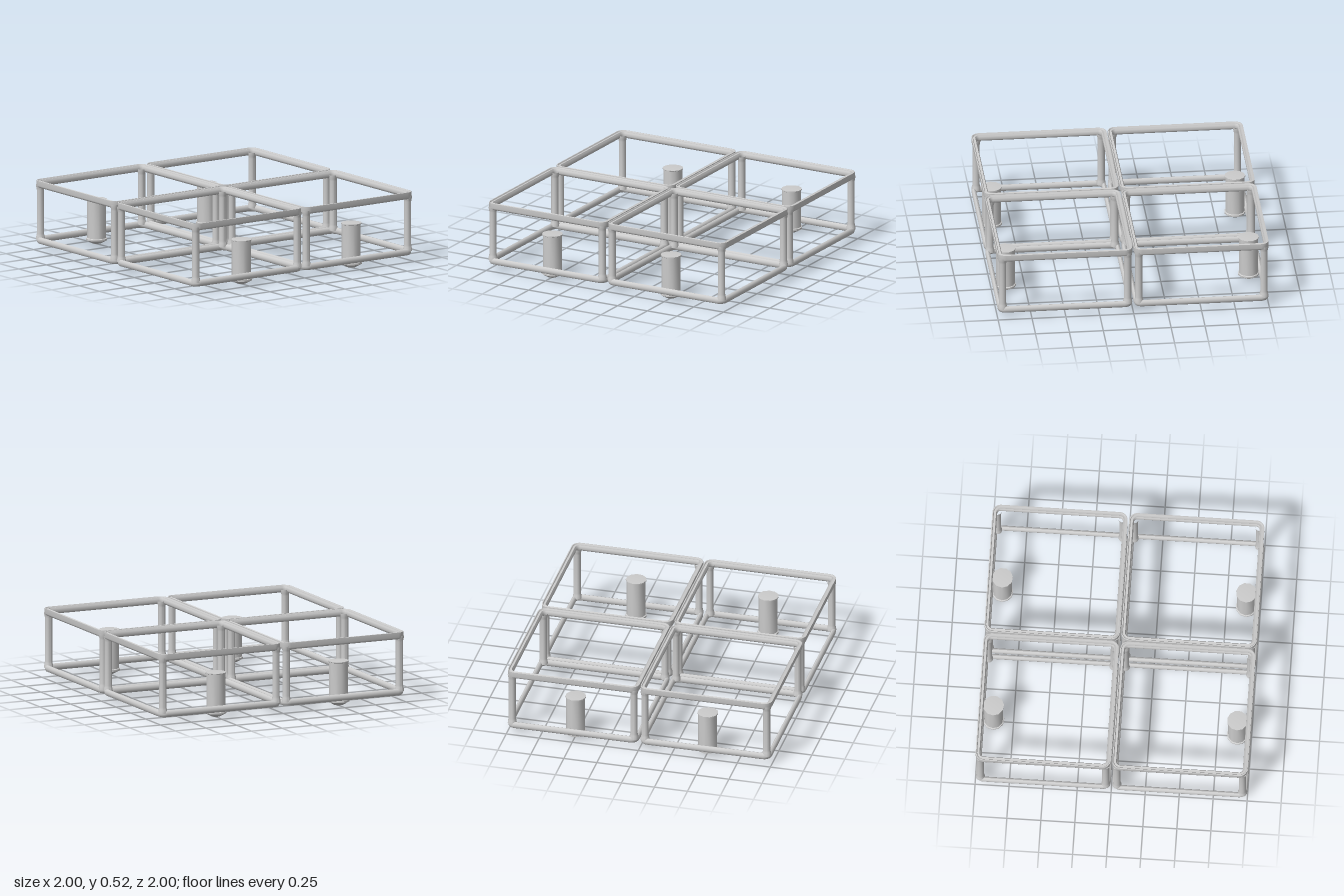
import * as THREE from 'three';
import { toCreasedNormals } from 'three/addons/utils/BufferGeometryUtils.js';

const material = new THREE.MeshStandardMaterial({ color: 0xcccccc });
const CELL = 0.5025;    // centre of each frame from the middle
const HALF = 0.4975;    // half width of a frame
const CORNER = 0.06;    // outer corner radius

function addMesh(parent, name, geometry) {
  const mesh = new THREE.Mesh(geometry, material);
  mesh.name = name;
  parent.add(mesh);
  return mesh;
}

// Sweeps a closed [inset, height] section around a rounded square
function railGeometry(section) {
  const positions = [], index = [];
  const steps = 6, n = section.length, rows = 4 * (steps + 1);
  for (let q = 0; q < 4; q++) {
    const mid = (q + 0.5) * Math.PI / 2;
    const cx = Math.sign(Math.cos(mid)) * (HALF - CORNER);
    const cz = Math.sign(Math.sin(mid)) * (HALF - CORNER);
    for (let s = 0; s <= steps; s++) {
      const a = (q + s / steps) * Math.PI / 2;
      for (const [inset, y] of section) {
        const r = CORNER - inset;
        positions.push(cx + Math.cos(a) * r, y, cz + Math.sin(a) * r);
      }
    }
  }
  for (let i = 0; i < rows; i++) {
    for (let j = 0; j < n; j++) {
      const k = (j + 1) % n, next = (i + 1) % rows;
      const a = i * n + j, b = i * n + k, c = next * n + j, d = next * n + k;
      index.push(a, b, c, b, d, c);
    }
  }
  const geometry = new THREE.BufferGeometry();
  geometry.setAttribute('position', new THREE.Float32BufferAttribute(positions, 3));
  geometry.setIndex(index);
  return toCreasedNormals(geometry, 0.7);
}

function lathe(points, sides) {
  const geometry = new THREE.LatheGeometry(points.map(([r, y]) => new THREE.Vector2(r, y)), sides);
  return toCreasedNormals(geometry, 0.7);
}

export function createModel() {
  const model = new THREE.Group();
  model.name = 'framedTray';

  // Rounded lower rail section, running up the outer side first
  const lowerSection = [];
  for (let i = 0; i < 12; i++) {
    const a = i / 12 * Math.PI * 2;
    lowerSection.push([0.018 - Math.cos(a) * 0.018, 0.075 + Math.sin(a) * 0.025]);
  }
  // Upper rail with a straight outer wall and a shallow groove on top
  const upperSection = [
    [0.012, 0.472], [0.003, 0.478], [0, 0.488], [0, 0.524], [0.007, 0.525],
    [0.012, 0.517], [0.022, 0.517], [0.028, 0.52], [0.034, 0.512],
    [0.036, 0.49], [0.032, 0.478], [0.023, 0.472],
  ];
  const lowerRail = railGeometry(lowerSection);
  const upperRail = railGeometry(upperSection);

  // Corner post, flared where it meets the rails
  const post = lathe([
    [0.034, 0.08], [0.033, 0.097], [0.029, 0.11], [0.027, 0.125],
    [0.027, 0.45], [0.029, 0.465], [0.033, 0.478], [0.034, 0.495],
  ], 14);

  // Foot peg: rounded bottom, collar, barrel and thin cap
  const peg = lathe([
    [0, 0], [0.035, 0.006], [0.06, 0.02], [0.079, 0.031], [0.079, 0.043],
    [0.071, 0.047], [0.071, 0.326], [0.077, 0.329], [0.077, 0.336], [0, 0.341],
  ], 11);

  for (const sx of [-1, 1]) {
    for (const sz of [-1, 1]) {
      const frame = new THREE.Group();
      frame.name = (sz > 0 ? 'front' : 'back') + (sx > 0 ? 'Left' : 'Right') + 'Frame';
      frame.position.set(sx * CELL, 0, sz * CELL);
      addMesh(frame, 'lowerRail', lowerRail);
      addMesh(frame, 'upperRail', upperRail);
      for (const px of [-1, 1]) {
        for (const pz of [-1, 1]) {
          addMesh(frame, 'cornerPost', post).position.set(px * 0.461, 0, pz * 0.461);
        }
      }
      addMesh(frame, 'peg', peg).position.set(sx * (0.897 - CELL), 0, sz * (0.5 - CELL));
      model.add(frame);
    }
  }
  return model;
}
